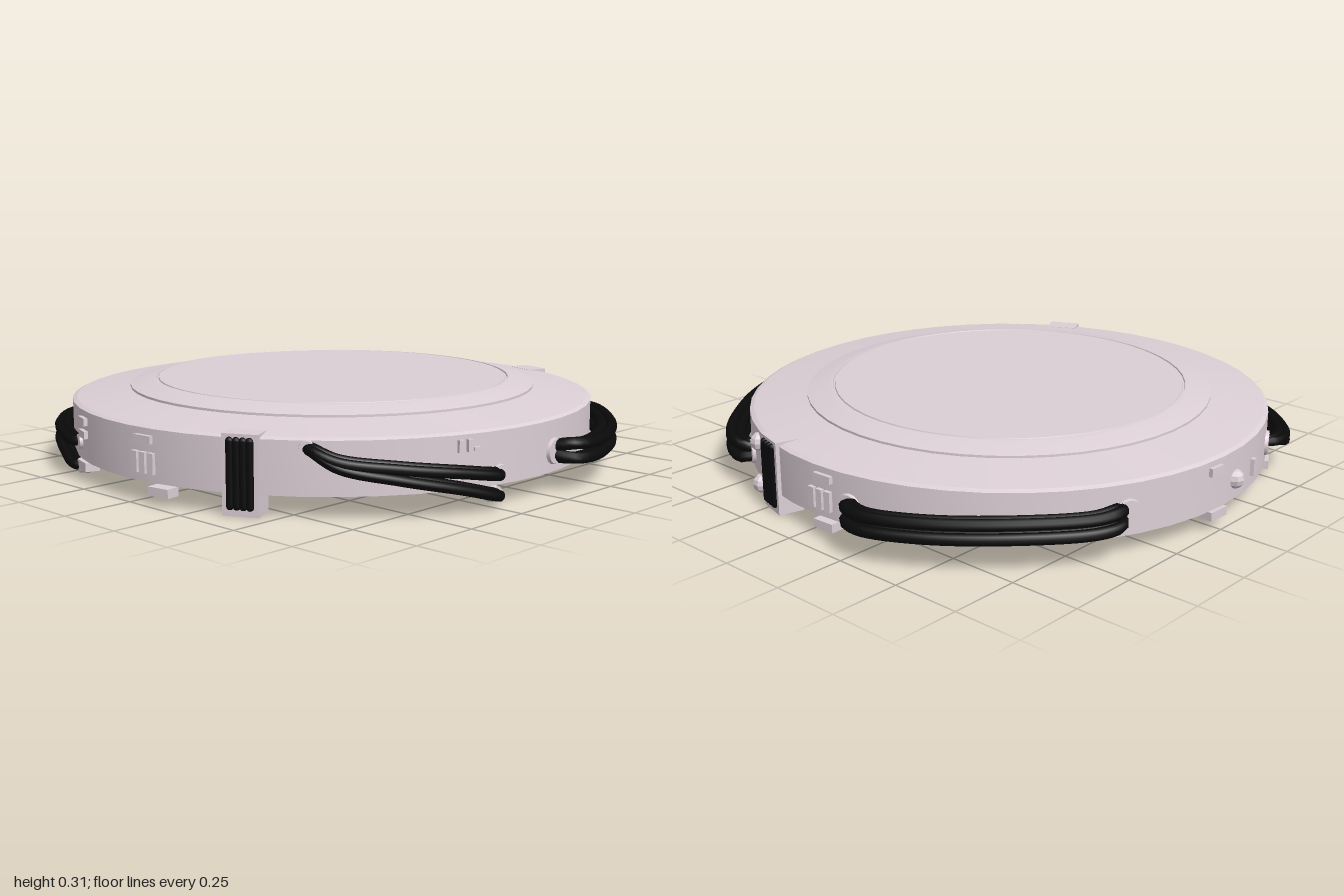
import * as THREE from 'three';
import { toCreasedNormals } from 'three/addons/utils/BufferGeometryUtils.js';

const CX = -0.03, CZ = -0.035, R = 0.945;

export function createModel() {
  const root = new THREE.Group();
  const pale = new THREE.MeshStandardMaterial({ color: 0xdccfd6 });
  const black = new THREE.MeshStandardMaterial({ color: 0x0a0a0a });

  // Adds a mesh at a compass angle on the rim; its local +z points outward
  function onRim(name, geometry, angle, y, radius = R, material = pale) {
    const a = THREE.MathUtils.degToRad(angle);
    const mesh = new THREE.Mesh(geometry, material);
    mesh.name = name;
    mesh.position.set(CX + radius * Math.cos(a), y, CZ + radius * Math.sin(a));
    mesh.rotation.y = Math.PI / 2 - a;
    root.add(mesh);
    return mesh;
  }
  const box = (w, h, d) => new THREE.BoxGeometry(w, h, d);

  // Disc body with stepped, gently domed top
  const profile = [
    [0, 0.07], [R, 0.07], [R, 0.245], [0.93, 0.252], [0.738, 0.278], [0.738, 0.286],
    [0.66, 0.306], [0.646, 0.308], [0.644, 0.303], [0.638, 0.303], [0.636, 0.308], [0, 0.308],
  ].map(([x, y]) => new THREE.Vector2(x, y));
  const disc = new THREE.Mesh(
    toCreasedNormals(new THREE.LatheGeometry(profile, 48), 0.2), pale);
  disc.name = 'disc';
  disc.position.set(CX, 0, CZ);
  root.add(disc);

  // Cable strands following a path, each shifted outward and upward
  function cables(name, path, offsets, radius) {
    const group = new THREE.Group();
    group.name = name;
    for (const [out, up] of offsets) {
      const points = path.map(([x, y, z], i) => {
        const k = i === 0 || i === path.length - 1 ? 0.5 : 1;
        const dir = new THREE.Vector3(x - CX, 0, z - CZ).normalize();
        return new THREE.Vector3(x, y + up * k, z).addScaledVector(dir, out * k);
      });
      const curve = new THREE.CatmullRomCurve3(points, false, 'centripetal');
      group.add(new THREE.Mesh(new THREE.TubeGeometry(curve, 40, radius, 10), black));
    }
    root.add(group);
  }

  // Thick four-strand bundles
  const four = [[-0.017, -0.026], [0.017, -0.022], [-0.017, 0.022], [0.017, 0.026]];
  cables('frontLeftCables', [
    [0.05, 0.14, 0.88], [0.085, 0.14, 0.94], [0.17, 0.135, 0.955], [0.42, 0.13, 0.865],
    [0.66, 0.125, 0.69], [0.775, 0.125, 0.55], [0.79, 0.12, 0.48], [0.76, 0.12, 0.45],
  ], four, 0.02);
  cables('backLeftCables', [
    [0.37, 0.145, -0.86], [0.41, 0.145, -0.89], [0.49, 0.14, -0.87], [0.7, 0.14, -0.7],
    [0.87, 0.135, -0.48], [0.945, 0.13, -0.29], [0.925, 0.13, -0.21], [0.88, 0.13, -0.19],
  ], four, 0.02);

  // Thin forked cables: one shared end, the other splits to two heights
  const pair = [[-0.012, 0.003], [0.012, -0.003]];
  const fork = (name, plan, startY, ends) => ends.forEach((endY, i) => cables(
    name + (i ? 'Lower' : 'Upper'),
    plan.map(([x, z], j) => [x, THREE.MathUtils.lerp(startY, endY,
      THREE.MathUtils.clamp((j - 1) / (plan.length - 3), 0, 1)), z]),
    pair, 0.017));
  fork('backRightCable', [[-0.47, -0.85], [-0.52, -0.875], [-0.6, -0.86], [-0.75, -0.72],
    [-0.86, -0.53], [-0.895, -0.42], [-0.87, -0.38]], 0.14, [0.13, 0.045]);
  fork('frontRightCable', [[-0.73, 0.53], [-0.76, 0.59], [-0.73, 0.67], [-0.58, 0.79],
    [-0.4, 0.875], [-0.24, 0.9], [-0.22, 0.86]], 0.22, [0.11, 0.042]);

  // Round sockets where the cables enter the rim: [x, z, y, radius]
  for (const [x, z, y, r] of [
    [0.05, 0.91, 0.14, 0.05], [0.8, 0.46, 0.125, 0.05], [0.37, -0.9, 0.15, 0.05],
    [0.91, -0.19, 0.135, 0.05], [-0.48, -0.88, 0.14, 0.05], [-0.9, -0.39, 0.13, 0.03],
    [-0.9, -0.39, 0.045, 0.03], [-0.75, 0.56, 0.22, 0.03], [-0.22, 0.89, 0.11, 0.03],
    [-0.24, 0.89, 0.042, 0.03]]) {
    const g = new THREE.CylinderGeometry(r * 0.85, r, 0.035, 16).rotateX(Math.PI / 2);
    onRim('cableSocket', g, THREE.MathUtils.radToDeg(Math.atan2(z - CZ, x - CX)), y, R - 0.008);
  }

  // Two clamps wrapped with black bands
  for (const angle of [15.7, 153]) {
    onRim('clampPlate', box(0.12, 0.255, 0.03), angle, 0.1325, R - 0.005);
    onRim('clampTopTab', box(0.12, 0.02, 0.08), angle, 0.25, R - 0.03);
    onRim('clampFoot', box(0.12, 0.07, 0.09), angle, 0.035, R - 0.035);
    for (let i = 0; i < 4; i++) {
      const band = new THREE.CapsuleGeometry(0.013, 0.205, 4, 8).translate(-0.033 + i * 0.022, 0, 0);
      onRim('clampBand', band, angle, 0.135, R + 0.012, black);
    }
  }

  // Faceted studs: [angle, y]
  for (const [angle, y] of [[24, 0.2], [24, 0.045], [-95, 0.14]]) {
    const g = toCreasedNormals(new THREE.SphereGeometry(0.034, 8, 6), 0.1);
    onRim('stud', g, angle, y, R - 0.004);
  }

  // Small rim blocks: [angle, y, width, height]
  for (const [angle, y, w, h] of [
    [-3, 0.21, 0.075, 0.026], [-4.2, 0.133, 0.026, 0.07], [-2, 0.133, 0.026, 0.07], [0.2, 0.133, 0.026, 0.07],
    [-87, 0.21, 0.06, 0.03], [-103, 0.14, 0.022, 0.06],
    [-161, 0.21, 0.065, 0.026], [-161, 0.165, 0.065, 0.026],
    [175, 0.21, 0.075, 0.026], [173, 0.133, 0.026, 0.07], [175.2, 0.133, 0.026, 0.07], [177.4, 0.133, 0.026, 0.07],
    [109, 0.21, 0.018, 0.04], [111, 0.21, 0.018, 0.04], [107.5, 0.198, 0.025, 0.012],
  ]) onRim('rimBlock', box(w, h, 0.04), angle, y, R - 0.008);

  // Tabs under the rim edge: [angle, y, width]
  for (const [angle, y, w] of [
    [-3, 0.045, 0.085], [-88, 0.055, 0.085], [-120, 0.055, 0.07], [-161, 0.055, 0.08], [171, 0.045, 0.085],
  ]) onRim('underTab', box(w, 0.03, 0.05), angle, y, R - 0.012);

  return root;
}
